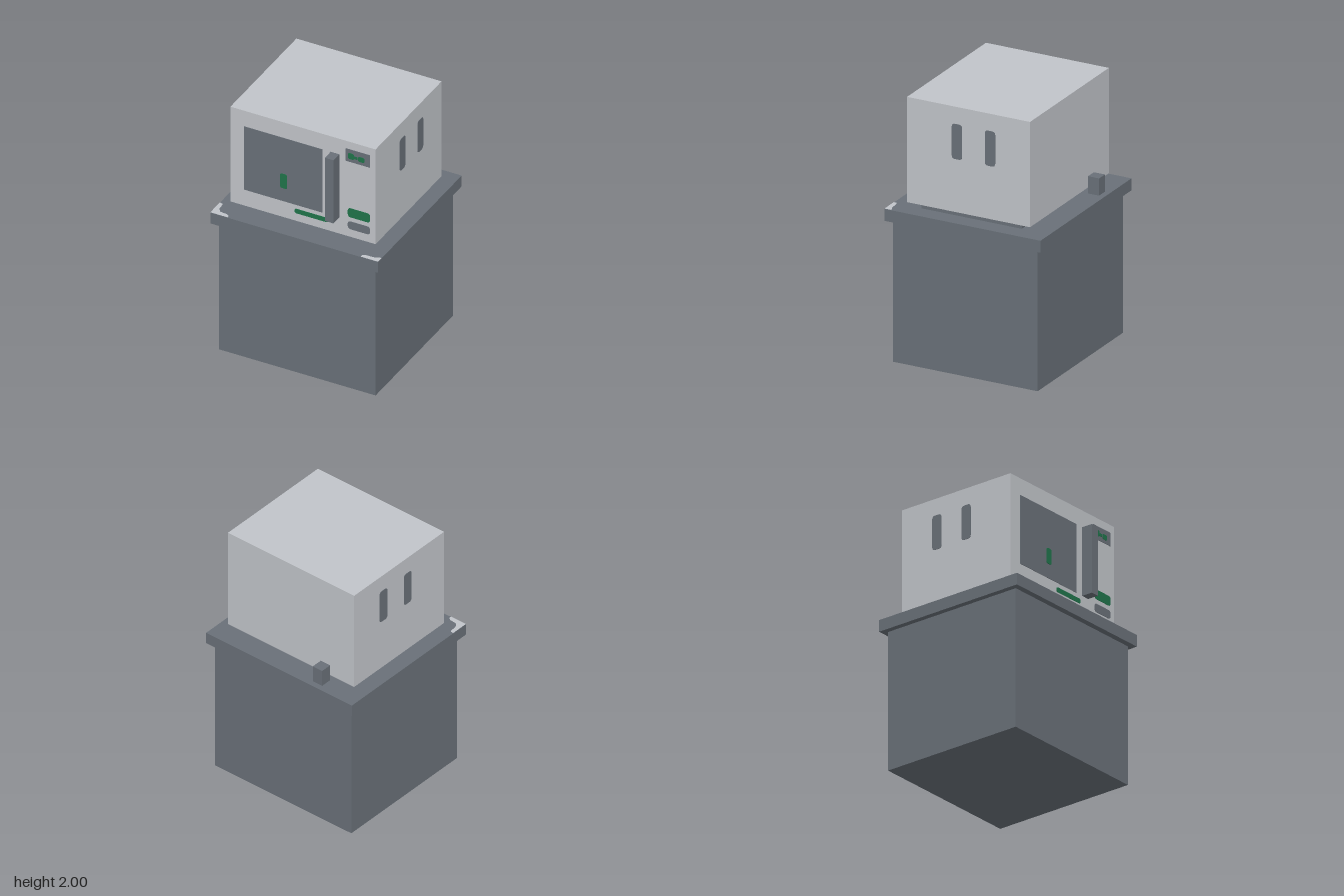
import * as THREE from 'three';

export function createModel() {
  const model = new THREE.Group();
  const mat = (name, color) => {
    const m = new THREE.MeshStandardMaterial({ color });
    m.name = name;
    return m;
  };
  const light = mat('lightGrey', 0xc1c4c9);
  const dark = mat('darkGrey', 0x697078);
  const green = mat('green', 0x1f734a);

  const add = (name, geometry, material) => {
    const mesh = new THREE.Mesh(geometry, material);
    mesh.name = name;
    model.add(mesh);
    return mesh;
  };
  // Box given by its limits on each axis
  const box = (name, material, [x0, x1], [y0, y1], [z0, z1]) =>
    add(name, new THREE.BoxGeometry(x1 - x0, y1 - y0, z1 - z0), material)
      .position.set((x0 + x1) / 2, (y0 + y1) / 2, (z0 + z1) / 2);

  // Thin plate with rounded corners, facing +z before any turn
  const plateGeometry = (w, h, r) => {
    const s = new THREE.Shape();
    const a = w / 2, b = h / 2;
    s.moveTo(-a + r, -b).lineTo(a - r, -b).quadraticCurveTo(a, -b, a, -b + r);
    s.lineTo(a, b - r).quadraticCurveTo(a, b, a - r, b);
    s.lineTo(-a + r, b).quadraticCurveTo(-a, b, -a, b - r);
    s.lineTo(-a, -b + r).quadraticCurveTo(-a, -b, -a + r, -b);
    return new THREE.ExtrudeGeometry(s, { depth: 0.003, bevelEnabled: false, curveSegments: 4 });
  };
  const FRONT = 0.49, SIDE = 0.576;
  const frontPlate = (name, material, [x0, x1], [y0, y1], r, lift = 0) =>
    add(name, plateGeometry(x1 - x0, y1 - y0, r), material)
      .position.set((x0 + x1) / 2, (y0 + y1) / 2, FRONT + lift);

  // Cabinet and worktop
  box('cabinet', dark, [-0.622, 0.622], [0, 1.07], [-0.576, 0.576]);
  box('worktop', dark, [-0.665, 0.665], [1.07, 1.16], [-0.622, 0.622]);

  // Pale worn patches on the two front corners of the worktop
  const patch = (name, points) => {
    const shape = new THREE.Shape(points.map(([x, z]) => new THREE.Vector2(x, -z)));
    const g = new THREE.ShapeGeometry(shape).rotateX(-Math.PI / 2);
    add(name, g, light).position.y = 1.163;
  };
  patch('leftCornerPatch', [[0.665, 0.57], [0.648, 0.57], [0.62, 0.585], [0.55, 0.588],
    [0.528, 0.602], [0.528, 0.622], [0.665, 0.622]]);
  patch('rightCornerPatch', [[-0.665, 0.48], [-0.642, 0.487], [-0.634, 0.5], [-0.632, 0.55],
    [-0.608, 0.582], [-0.55, 0.588], [-0.53, 0.602], [-0.53, 0.622], [-0.665, 0.622]]);

  // Oven body on two runners
  box('ovenBody', light, [-SIDE, SIDE], [1.205, 2], [-0.49, FRONT]);
  for (const s of [-1, 1]) {
    const x = s * 0.488;
    box('footRunner', dark, [x - 0.043, x + 0.043], [1.16, 1.205], [-0.4, 0.4]);
  }

  // Door window and handle
  frontPlate('doorWindow', dark, [-0.467, 0.156], [1.34, 1.87], 0.001);
  frontPlate('windowMark', green, [-0.18, -0.125], [1.45, 1.57], 0.016, 0.003);
  frontPlate('doorStrip', green, [-0.065, 0.198], [1.27, 1.307], 0.014);
  box('doorHandle', dark, [0.22, 0.288], [1.34, 1.87], [FRONT, 0.577]);

  // Display with lit segments, and buttons
  frontPlate('display', dark, [0.34, 0.533], [1.834, 1.938], 0.001);
  frontPlate('displaySegment', green, [0.36, 0.407], [1.86, 1.908], 0.014, 0.003);
  frontPlate('displaySegment', green, [0.407, 0.435], [1.87, 1.892], 0.006, 0.003);
  frontPlate('displaySegment', green, [0.44, 0.49], [1.86, 1.9], 0.014, 0.003);
  frontPlate('startButton', green, [0.356, 0.533], [1.37, 1.445], 0.025);
  frontPlate('stopButton', dark, [0.356, 0.533], [1.27, 1.335], 0.025);

  // Vent slots on both sides
  for (const s of [-1, 1]) {
    for (const z of [0.092, -0.172]) {
      const vent = add('sideVent', plateGeometry(0.082, 0.265, 0.025), dark);
      vent.rotation.y = s * Math.PI / 2;
      vent.position.set(s * SIDE, 1.738, z);
    }
  }

  // Power plug block behind the oven
  box('plugBlock', dark, [-0.357, -0.272], [1.16, 1.29], [-0.578, -0.49]);

  return model;
}
